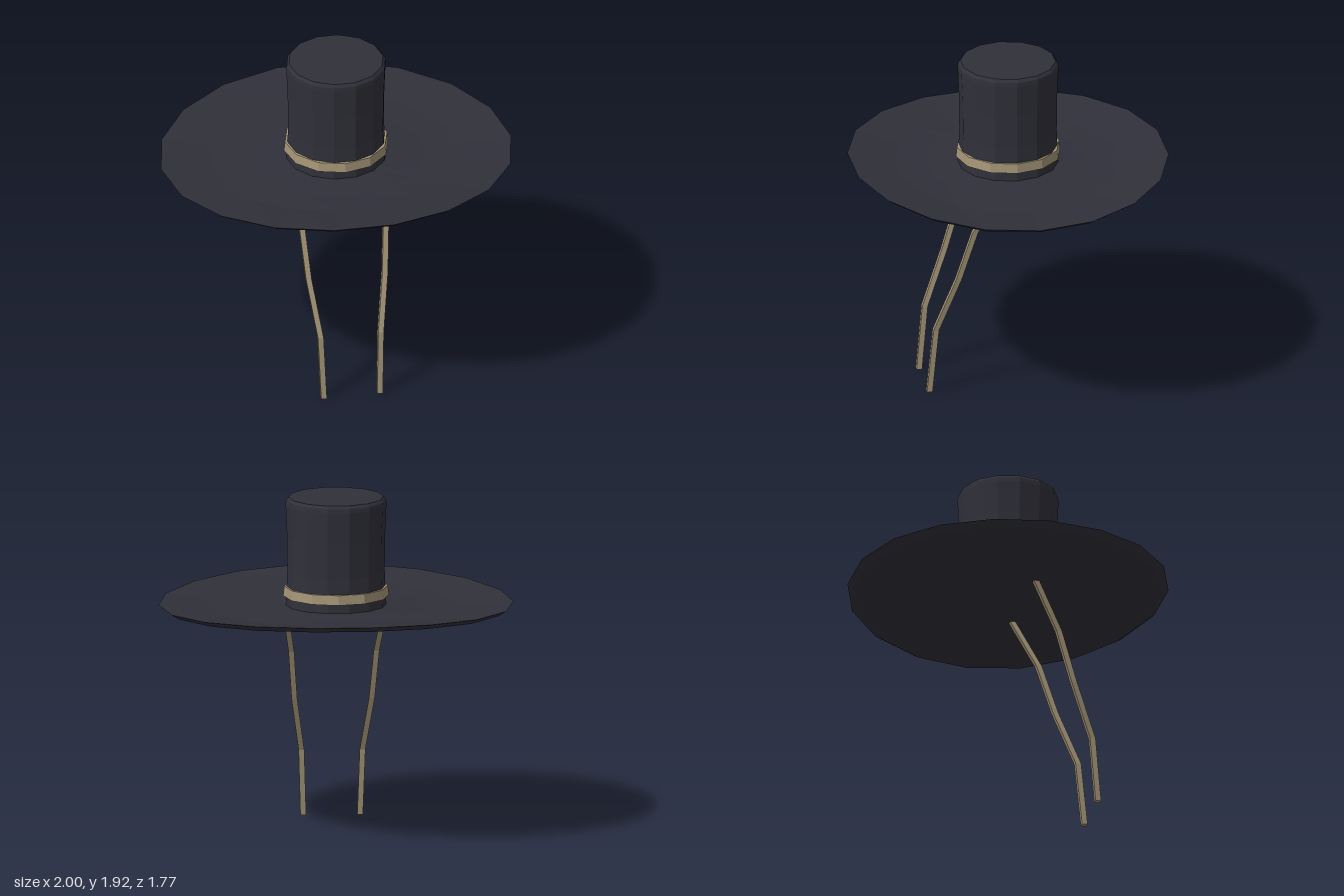
import * as THREE from 'three';

const felt = new THREE.MeshStandardMaterial({ color: 0x30303a, flatShading: true });
const cloth = new THREE.MeshStandardMaterial({ color: 0xa39476, flatShading: true });

// Faceted solid of revolution, profile listed from bottom to top, first corner on the x axis
function turned(name, profile, sides, material) {
  const points = profile.map(([r, y]) => new THREE.Vector2(r, y));
  const mesh = new THREE.Mesh(new THREE.LatheGeometry(points, sides, Math.PI / 2), material);
  mesh.name = name;
  return mesh;
}

// Square strap swept through a path with level cross-sections
function strap(name, path, half) {
  const positions = [];
  const index = [];
  const corners = [[1, 1], [1, -1], [-1, -1], [-1, 1]];
  path.forEach(([x, y, z], i) => {
    corners.forEach(([cx, cz]) => positions.push(x + cx * half, y, z + cz * half));
    if (i === 0) return;
    for (let k = 0; k < 4; k++) {
      const a = (i - 1) * 4 + k, b = (i - 1) * 4 + (k + 1) % 4;
      index.push(a, a + 4, b, b, a + 4, b + 4);
    }
  });
  // End caps: the path runs from top to bottom
  const e = (path.length - 1) * 4;
  index.push(0, 1, 2, 0, 2, 3, e, e + 2, e + 1, e, e + 3, e + 2);
  const geometry = new THREE.BufferGeometry();
  geometry.setAttribute('position', new THREE.Float32BufferAttribute(positions, 3));
  geometry.setIndex(index);
  geometry.computeVertexNormals();
  const mesh = new THREE.Mesh(geometry, cloth);
  mesh.name = name;
  return mesh;
}

export function createModel() {
  const hat = new THREE.Group();
  hat.name = 'hat';

  // Wide oval brim, bent up towards front and back
  const brim = turned('brim', [
    [0, 1.268], [0.3, 1.268], [0.5, 1.265], [0.7, 1.255], [0.955, 1.282],
    [1, 1.31], [0.7, 1.29], [0.5, 1.292], [0.28, 1.305], [0, 1.31],
  ], 18, felt);
  const p = brim.geometry.attributes.position;
  for (let i = 0; i < p.count; i++) {
    const z = p.getZ(i);
    p.setY(i, p.getY(i) + 0.042 * z * z);
    p.setZ(i, z * 0.9);
  }
  brim.geometry.computeVertexNormals();
  hat.add(brim);

  // Tall crown, slightly waisted, with a bevelled top edge
  hat.add(turned('crown', [
    [0.284, 1.29], [0.28, 1.36], [0.274, 1.5], [0.276, 1.7],
    [0.284, 1.88], [0.282, 1.905], [0.268, 1.922], [0, 1.925],
  ], 14, felt));

  // Band around the foot of the crown
  hat.add(turned('hatBand', [
    [0.265, 1.357], [0.298, 1.357], [0.292, 1.412], [0.265, 1.412], [0.265, 1.357],
  ], 12, cloth));

  // Pair of chin straps hanging forward
  const path = [
    [0.285, 1.285, 0.085], [0.24, 0.99, 0.235], [0.218, 0.7, 0.325],
    [0.172, 0.38, 0.445], [0.16, 0, 0.48],
  ];
  hat.add(strap('leftStrap', path, 0.016));
  hat.add(strap('rightStrap', path.map(([x, y, z]) => [-x, y, z]), 0.016));

  return hat;
}
